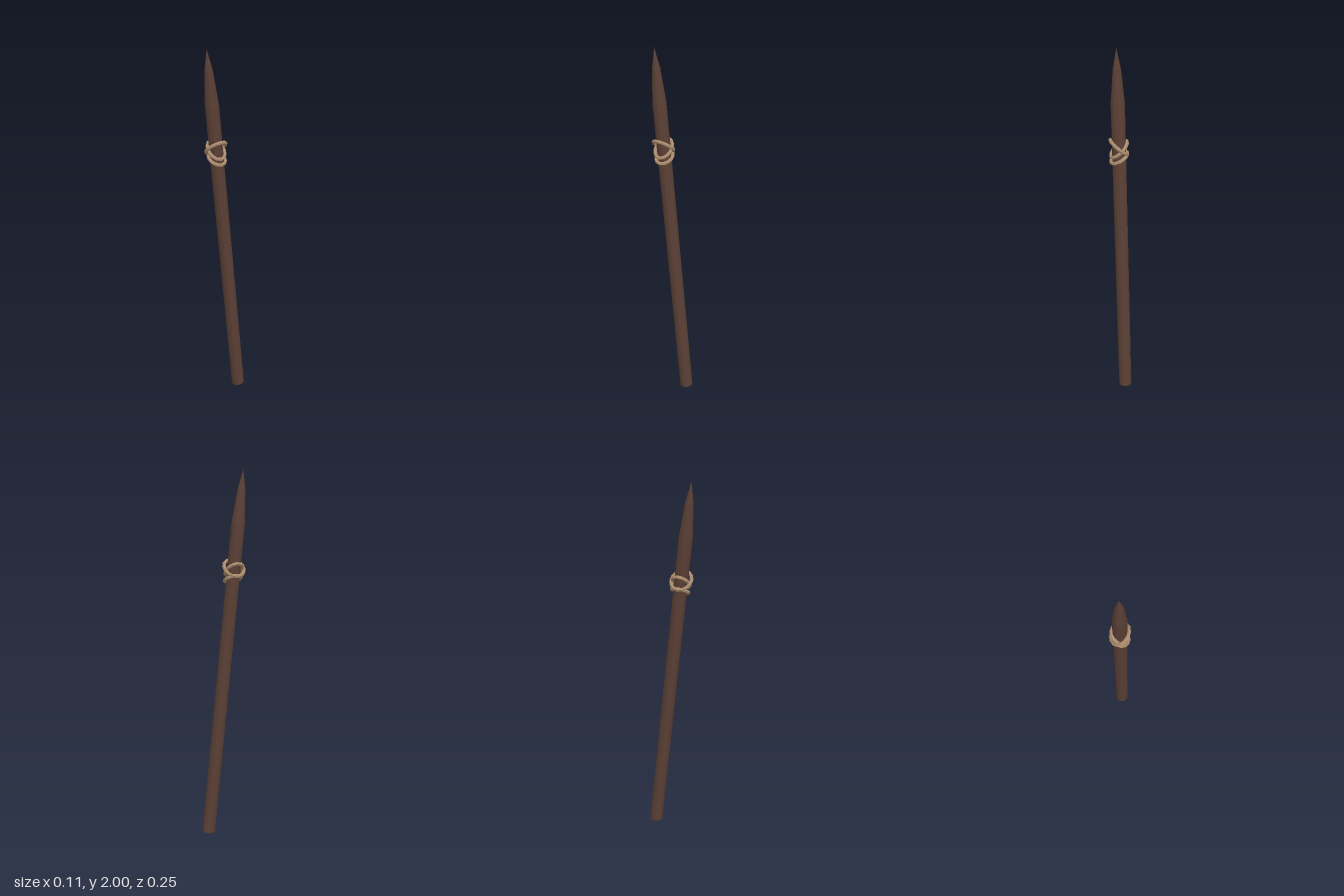
import * as THREE from 'three';

const TILT = 0.102;      // forward lean of the shaft
const BASE_Z = -0.092;   // where the axis meets the ground

export function createModel() {
  const model = new THREE.Group();
  model.name = 'woodenStake';

  const wood = new THREE.MeshStandardMaterial({ color: 0x593f34 });
  wood.name = 'darkWood';
  wood.flatShading = true;
  const cord = new THREE.MeshStandardMaterial({ color: 0xa98a6c });
  cord.name = 'tanCord';
  cord.flatShading = true;

  // Shaft with a carved point, leaning forward
  const profile = [[0, 0], [0.036, 0], [0.036, 1.725], [0.021, 1.9], [0, 2.006]]
    .map(([r, y]) => new THREE.Vector2(r, y));
  const shaft = new THREE.Mesh(new THREE.LatheGeometry(profile, 12, Math.PI / 12), wood);
  shaft.name = 'shaft';
  shaft.rotation.x = TILT;
  shaft.position.set(0, 0.004, BASE_Z);
  model.add(shaft);

  // Slanted cord loops: height on the -x side, height on the +x side, radii in x and z
  const loops = [
    [1.453, 1.53, 0.044, 0.055],
    [1.52, 1.44, 0.042, 0.046],
    [1.458, 1.41, 0.043, 0.044],
  ];
  const binding = new THREE.Group();
  binding.name = 'binding';
  for (const [low, high, rx, rz] of loops) {
    const mid = (low + high) / 2;
    const points = [];
    for (let i = 0; i < 12; i++) {
      const a = (i / 12) * Math.PI * 2;
      points.push(new THREE.Vector3(
        Math.cos(a) * rx,
        mid + Math.cos(a) * (high - low) / 2,
        BASE_Z + mid * Math.tan(TILT) + Math.sin(a) * rz
      ));
    }
    const path = new THREE.CatmullRomCurve3(points, true);
    const loop = new THREE.Mesh(new THREE.TubeGeometry(path, 14, 0.0095, 6, true), cord);
    loop.name = 'cordLoop';
    binding.add(loop);
  }
  model.add(binding);

  return model;
}
